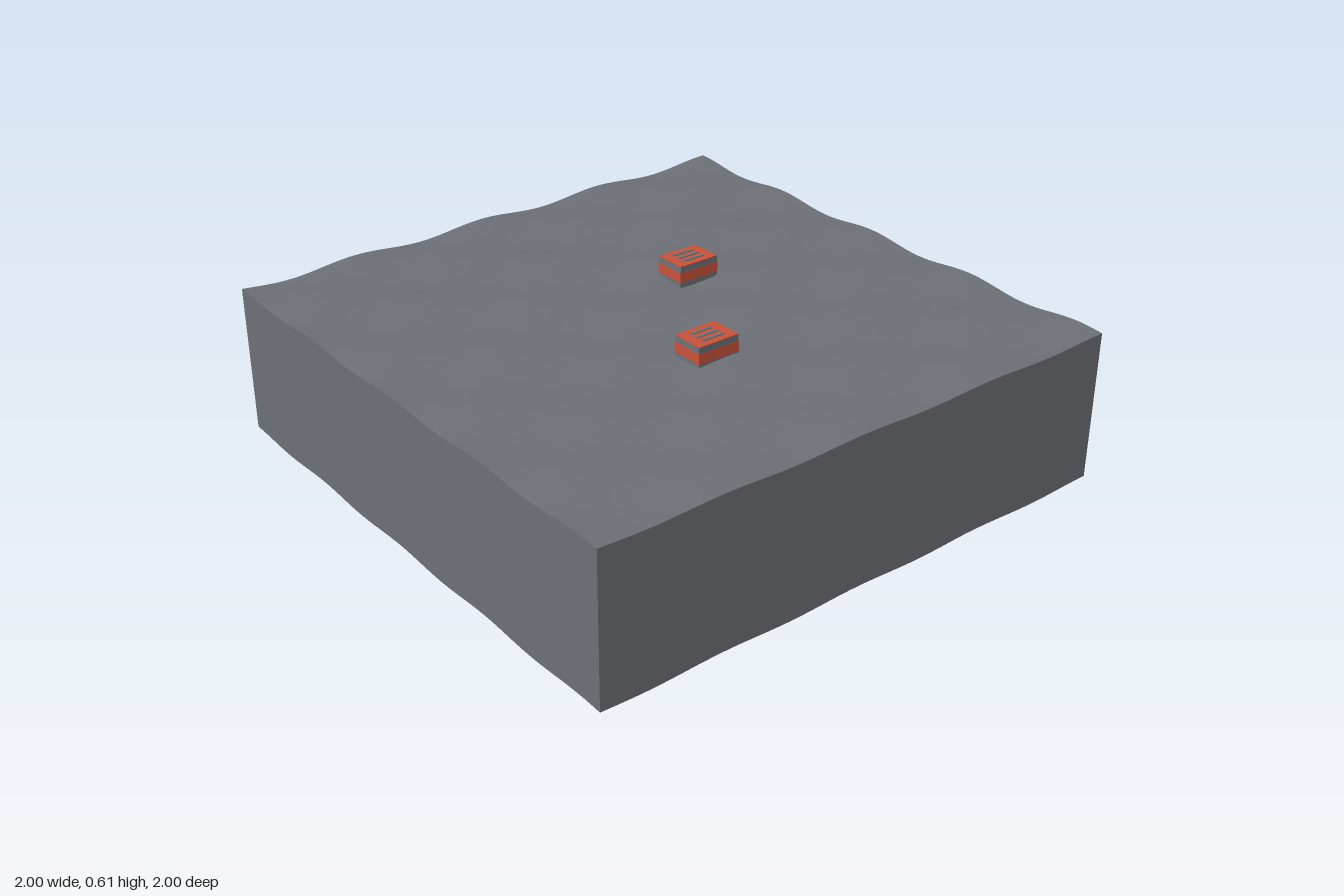
import * as THREE from 'three';

const mat = (name, color, side = THREE.FrontSide) => {
  const m = new THREE.MeshStandardMaterial({ color, side });
  m.name = name;
  return m;
};

// Gentle ripple shared by the top surface and the lower rim
const ripple = (x, z) =>
  0.01 * Math.cos((Math.PI * (x - 0.91)) / 0.239) * Math.cos((Math.PI * (z + 1)) / 0.261);
const TOP = 0.539, RIM = 0.01, STEPS = 64;

export function createModel() {
  const group = new THREE.Group();
  const stone = mat('slate grey', 0x6c7076, THREE.DoubleSide);
  const casing = mat('casing grey', 0x6b7278);
  const red = mat('brick red', 0xc8523a);

  const add = (parent, name, geometry, material, x = 0, y = 0, z = 0) => {
    const mesh = new THREE.Mesh(geometry, material);
    mesh.name = name;
    mesh.position.set(x, y, z);
    parent.add(mesh);
    return mesh;
  };

  // Rippled top surface
  const top = new THREE.PlaneGeometry(2, 2, STEPS, STEPS).rotateX(-Math.PI / 2);
  const tp = top.attributes.position;
  for (let i = 0; i < tp.count; i++) tp.setY(i, TOP + ripple(tp.getX(i), tp.getZ(i)));
  top.computeVertexNormals();
  add(group, 'groundTop', top, stone);

  // Four side walls, open underneath, following the ripple at both edges
  ['frontWall', 'leftWall', 'backWall', 'rightWall'].forEach((name, side) => {
    const wall = new THREE.PlaneGeometry(2, 1, STEPS, 1).translate(0, 0, 1).rotateY((side * Math.PI) / 2);
    const p = wall.attributes.position;
    for (let i = 0; i < p.count; i++) {
      p.setY(i, (p.getY(i) > 0 ? TOP : RIM) + ripple(p.getX(i), p.getZ(i)));
    }
    add(group, name, wall, stone);
  });

  // Two small vented units: grey casing, red band, red lid, raised grey slats
  [[-0.17, -0.25], [0.33, 0.08]].forEach(([x, z], i) => {
    const unit = new THREE.Group();
    unit.name = `ventUnit${i + 1}`;
    unit.position.set(x, 0, z);
    add(unit, 'casing', new THREE.BoxGeometry(0.118, 0.085, 0.158), casing, 0, 0.5675, 0);
    add(unit, 'band', new THREE.BoxGeometry(0.12, 0.036, 0.16), red, 0, 0.571, 0);
    add(unit, 'lid', new THREE.BoxGeometry(0.118, 0.002, 0.158), red, 0, 0.611, 0);
    for (const sx of [-0.028, 0, 0.028]) {
      add(unit, 'slat', new THREE.BoxGeometry(0.011, 0.004, 0.084), casing, sx, 0.613, 0);
    }
    group.add(unit);
  });

  return group;
}
